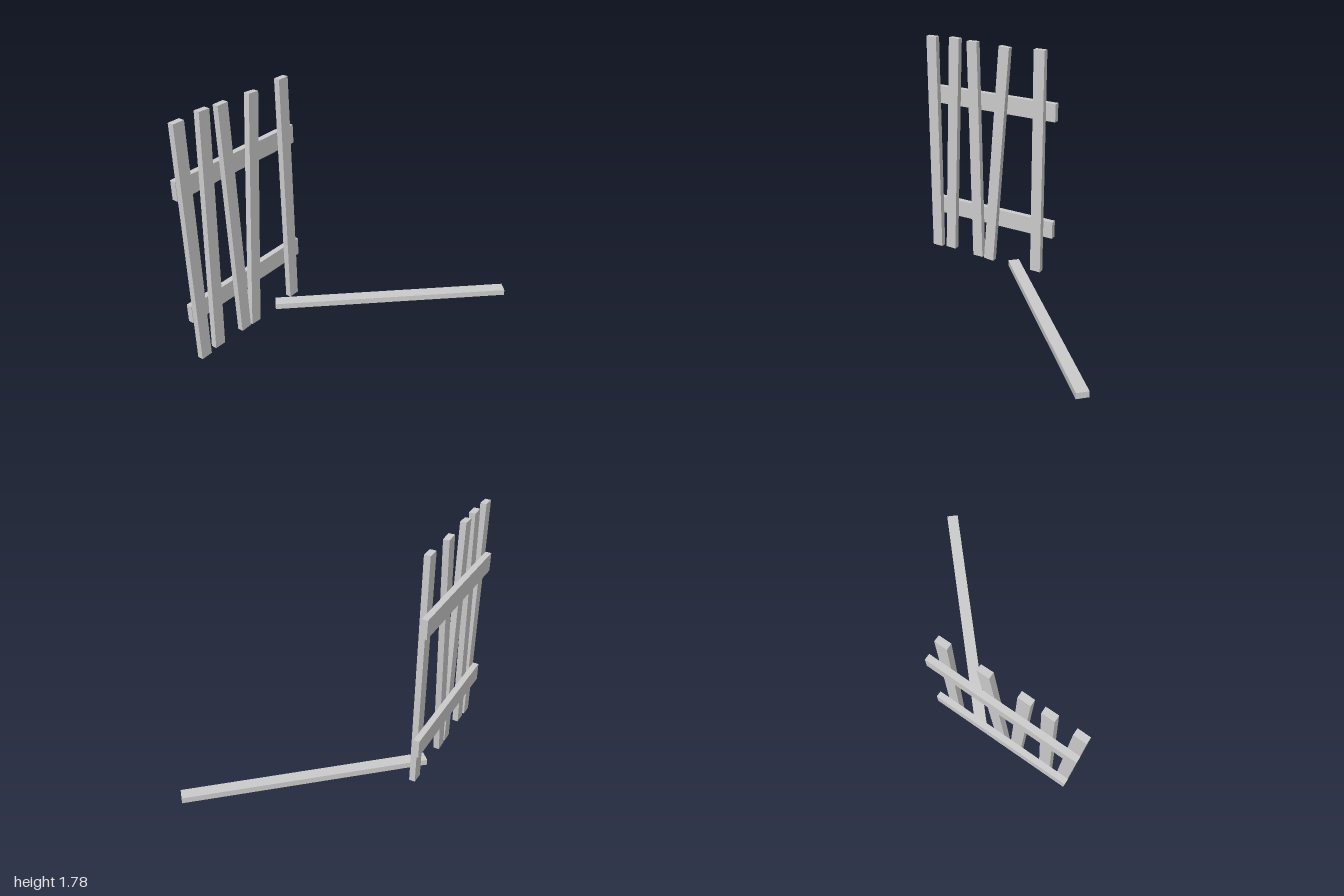
import * as THREE from 'three';

const LENGTH = 1.76, WIDTH = 0.087, THICK = 0.044;

export function createModel() {
  const group = new THREE.Group();
  const material = new THREE.MeshStandardMaterial({ color: 0xcccccc, flatShading: true });

  const board = (name, size, position) => {
    const mesh = new THREE.Mesh(new THREE.BoxGeometry(...size), material);
    mesh.name = name;
    mesh.position.set(...position);
    group.add(mesh);
    return mesh;
  };

  // Two horizontal rails on the outer side of the fence
  for (const [name, y] of [['lowerRail', 0.373], ['upperRail', 1.312]]) {
    board(name, [THICK, 0.137, 1.088], [-0.677, y, 0.456]);
  }

  // Upright pickets: z at the bottom, z at the top, height of the bottom
  const pickets = [
    [0.953, 0.953, 0.01],
    [0.822, 0.748, 0.02],
    [0.559, 0.593, 0.009],
    [0.457, 0.319, 0.004],
    [0.032, 0.032, 0.01],
  ];
  pickets.forEach(([bottomZ, topZ, bottomY], i) => {
    const lean = Math.asin((topZ - bottomZ) / LENGTH);
    const y = bottomY + (LENGTH * Math.cos(lean)) / 2;
    const picket = board(`picket${i + 1}`, [THICK, LENGTH, WIDTH], [-0.633, y, (bottomZ + topZ) / 2]);
    picket.rotation.x = lean;
  });

  // Picket that has fallen flat on the ground
  const fallen = board('fallenPicket', [LENGTH, THICK, WIDTH], [0.021, 0.032, -0.368]);
  fallen.rotation.y = Math.atan2(1.199, 1.29);

  return group;
}
